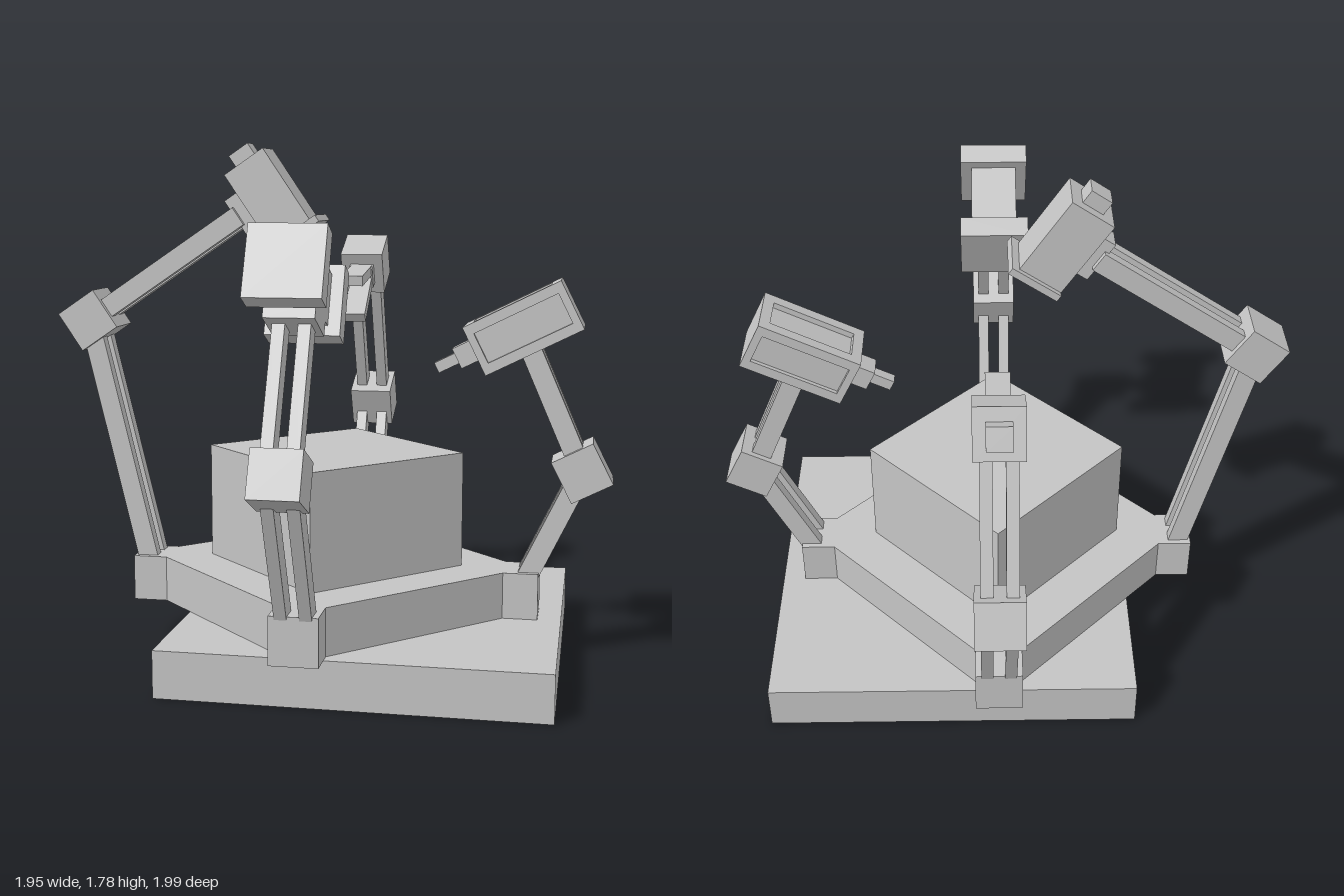
import * as THREE from 'three';

const grey = new THREE.MeshStandardMaterial({ color: 0xc4c4c4 });
grey.name = 'plain grey';
const CX = 0.01; // axis shared by the plinth and the four arms
const deg = THREE.MathUtils.degToRad;

function add(parent, name, geometry, x = 0, y = 0, z = 0) {
  const mesh = new THREE.Mesh(geometry, grey);
  mesh.name = name;
  mesh.position.set(x, y, z);
  parent.add(mesh);
  return mesh;
}

function box(parent, name, w, h, d, x = 0, y = 0, z = 0) {
  return add(parent, name, new THREE.BoxGeometry(w, h, d), x, y, z);
}

// Rectangular rim with an opening, rising from z = 0 to z = depth
function rim(w, h, iw, ih, depth) {
  const rect = (C, a, b) => new C([[-a, -b], [a, -b], [a, b], [-a, b]].map(([x, y]) => new THREE.Vector2(x / 2, y / 2)));
  const shape = rect(THREE.Shape, w, h);
  shape.holes.push(rect(THREE.Path, iw, ih));
  return new THREE.ExtrudeGeometry(shape, { depth, bevelEnabled: false });
}

// Bar between two points of the arm's plane
function bar(parent, name, [x0, y0], [x1, y1], thick, width, z = 0) {
  const len = Math.hypot(x1 - x0, y1 - y0);
  const mesh = box(parent, name, len, thick, width, (x0 + x1) / 2, (y0 + y1) / 2, z);
  mesh.rotation.z = Math.atan2(y1 - y0, x1 - x0);
}

// Foot, twin lower bars, elbow, twin upper bars and tilted head; +x is outward
function arm(root, name, turn, elbow, elbowTilt, wrist, headAt, headTilt, buildHead) {
  const g = new THREE.Group();
  g.name = name;
  g.position.x = CX;
  g.rotation.y = turn;
  root.add(g);
  box(g, 'armFoot', 0.12, 0.16, 0.16, 0.66, 0.24, 0);
  for (const z of [-0.04, 0.04]) {
    bar(g, 'lowerBar', [0.66, 0.26], elbow, 0.07, 0.04, z);
    bar(g, 'upperBar', elbow, wrist, 0.07, 0.04, z);
  }
  box(g, 'elbow', 0.155, 0.155, 0.16, ...elbow).rotation.z = deg(elbowTilt);
  const head = new THREE.Group();
  head.name = name + 'Head';
  head.position.set(...headAt, 0);
  head.rotation.z = deg(headTilt);
  g.add(head);
  buildHead(head);
}

// Tall block with a framed opening at its lower end
function scannerHead(h) {
  box(h, 'scannerBody', 0.163, 0.29, 0.16);
  box(h, 'scannerKnob', 0.08, 0.05, 0.08, 0, 0.17);
  box(h, 'scannerMount', 0.06, 0.155, 0.08, 0.11);
  const frame = add(h, 'scannerFrame', rim(0.19, 0.2, 0.13, 0.12, 0.025), -0.0135, -0.145);
  frame.rotation.x = Math.PI / 2;
}

// Long body with recessed panels and a stepped nose
function drillHead(h) {
  box(h, 'drillBody', 0.363, 0.16, 0.17, 0, -0.01);
  add(h, 'sideFrame', rim(0.363, 0.18, 0.31, 0.11, 0.015), 0, 0, 0.085);
  add(h, 'sideFrame', rim(0.363, 0.18, 0.31, 0.11, 0.015), 0, 0, -0.1);
  const top = add(h, 'topFrame', rim(0.363, 0.17, 0.29, 0.12, 0.02), 0, 0.07);
  top.rotation.x = -Math.PI / 2;
  box(h, 'noseBlock', 0.07, 0.075, 0.08, -0.2165);
  box(h, 'noseTip', 0.08, 0.038, 0.04, -0.291);
}

// Block between two broad striking plates
function hammerHead(h) {
  box(h, 'hammerCore', 0.25, 0.17, 0.16);
  box(h, 'hammerMount', 0.16, 0.05, 0.16, 0, -0.11);
  for (const x of [-0.16, 0.16]) box(h, 'hammerPlate', 0.078, 0.235, 0.24, x);
}

// Small block with two splayed fingers
function gripperHead(h) {
  box(h, 'gripperBody', 0.165, 0.165, 0.16);
  box(h, 'gripperKnob', 0.065, 0.075, 0.08, 0.115);
  box(h, 'fingerBase', 0.04, 0.08, 0.09, -0.1);
  bar(h, 'upperFinger', [-0.09, 0.02], [-0.31, 0.092], 0.038, 0.08);
  bar(h, 'lowerFinger', [-0.09, -0.012], [-0.315, -0.062], 0.038, 0.08);
}

export function createModel() {
  const root = new THREE.Group();
  root.name = 'fourArmWorkStation';

  box(root, 'baseSlab', 1.28, 0.16, 1.28, 0.17, 0.08, 0);

  // Eight-sided platform with four short sides facing the arms
  const a = 0.08, b = 0.6;
  const outline = new THREE.Shape(
    [[b, -a], [b, a], [a, b], [-a, b], [-b, a], [-b, -a], [-a, -b], [a, -b]].map(([x, y]) => new THREE.Vector2(x, y)));
  const platform = new THREE.ExtrudeGeometry(outline, { depth: 0.16, bevelEnabled: false });
  add(root, 'platform', platform, CX, 0.16, 0).rotation.x = -Math.PI / 2;

  box(root, 'workBlock', 0.638, 0.4, 0.638, CX, 0.52, 0).rotation.y = Math.PI / 4;

  const q = Math.PI / 2;
  arm(root, 'scannerArm', 2 * q, [0.875, 1.165], -34, [0.33, 1.532], [0.223, 1.597], -34, scannerHead);
  arm(root, 'drillArm', 0, [0.86, 0.675], 27, [0.675, 1.1], [0.654, 1.164], 26.5, drillHead);
  arm(root, 'hammerArm', -q, [0.893, 0.782], 25, [0.68, 1.23], [0.636, 1.334], 25, hammerHead);
  arm(root, 'gripperArm', q, [0.893, 0.78], 25, [0.68, 1.28], [0.663, 1.339], 25.5, gripperHead);
  return root;
}
